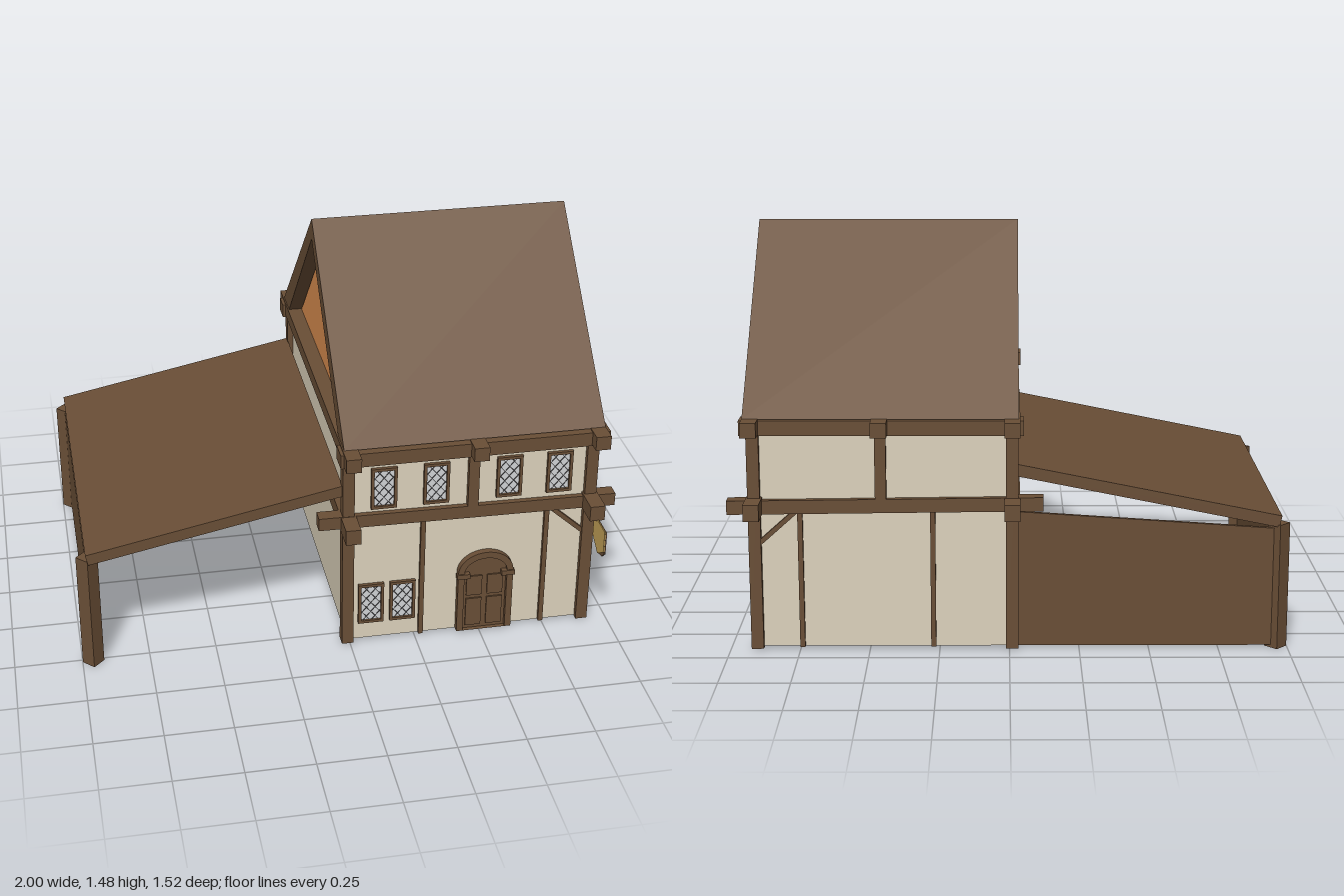
import * as THREE from 'three';

const mat = (name, color, side = THREE.FrontSide) => {
  const m = new THREE.MeshStandardMaterial({ color, side });
  m.name = name;
  return m;
};

export function createModel() {
  const timber = mat('timber brown', 0x694e36);
  const plaster = mat('plaster beige', 0xdcd2bc);
  const gableOrange = mat('gable orange', 0xdb8e50, THREE.DoubleSide);
  const glass = mat('window glass', 0xd2d4d6);
  const lead = mat('window lead', 0x4a4a4c);
  const gold = mat('sign gold', 0xc9a55a);

  const house = new THREE.Group();
  house.name = 'house';

  const add = (name, geometry, material, parent = house) => {
    const m = new THREE.Mesh(geometry, material);
    m.name = name;
    parent.add(m);
    return m;
  };
  // Box given by its lower and upper limits
  const box = (name, material, x0, x1, y0, y1, z0, z1, parent) => {
    const m = add(name, new THREE.BoxGeometry(x1 - x0, y1 - y0, z1 - z0), material, parent);
    m.position.set((x0 + x1) / 2, (y0 + y1) / 2, (z0 + z1) / 2);
    return m;
  };
  // Bar between two points in an upright plane facing z
  const bar = (name, material, ax, ay, bx, by, z, width, depth, parent) => {
    const m = add(name, new THREE.BoxGeometry(Math.hypot(bx - ax, by - ay), width, depth), material, parent);
    m.position.set((ax + bx) / 2, (ay + by) / 2, z);
    m.rotation.z = Math.atan2(by - ay, bx - ax);
    return m;
  };
  const polygon = pts => new THREE.Shape(pts.map(p => new THREE.Vector2(p[0], p[1])));
  // Outline in (z, y) extruded from x0 to x1
  const sideExtrude = (pts, x0, x1) =>
    new THREE.ExtrudeGeometry(polygon(pts.map(([z, y]) => [-z, y])), { depth: x1 - x0, bevelEnabled: false })
      .rotateY(Math.PI / 2).translate(x0, 0, 0);

  // Walls, open below
  const zF = 0.56, zB = -0.65;
  box('frontWall', plaster, 0, 0.91, 0.01, 0.83, zF - 0.012, zF);
  box('backWall', plaster, 0, 0.91, 0.01, 0.83, zB, zB + 0.012);
  box('leftWall', plaster, 0.898, 0.91, 0.01, 0.83, zB, zF);
  box('rightWall', plaster, -0.01, 0.002, 0.01, 0.83, zB, zF);

  // Corner posts, and long beams with projecting ends
  for (const x of [-0.01, 0.903]) {
    for (const z of [0.557, -0.647]) box('cornerPost', timber, x - 0.022, x + 0.022, 0.005, 0.85, z - 0.023, z + 0.023);
    box('lowerSideBeam', timber, x - 0.028, x + 0.028, 0.503, 0.563, -0.76, 0.675);
  }
  for (const x of [-0.01, 0.455, 0.905]) box('upperCrossBeam', timber, x - 0.028, x + 0.028, 0.802, 0.856, -0.76, 0.675);
  for (const z of [0.555, -0.645]) {
    bar('lowerLongBeam', timber, -0.12, 0.541, 1, 0.529, z, 0.05, 0.052);
  }
  box('frontEaveBeam', timber, -0.05, 0.945, 0.797, 0.851, 0.55, 0.63);
  box('backEaveBeam', timber, -0.05, 0.945, 0.797, 0.851, -0.7, -0.63);

  // Timber studs and brace on front and back
  for (const [z, face] of [[zF, 'front'], [zB, 'back']]) {
    box(face + 'UpperStud', timber, 0.435, 0.475, 0.55, 0.81, z - 0.022, z + 0.022);
    for (const x of [0.272, 0.742]) box(face + 'LowerStud', timber, x - 0.009, x + 0.009, 0.01, 0.51, z - 0.014, z + 0.014);
    bar(face + 'Brace', timber, 0.755, 0.515, 0.9, 0.385, z, 0.017, 0.026);
  }

  // Main roof and gables
  add('mainRoof', sideExtrude(
    [[0.605, 0.855], [-0.045, 1.475], [-0.695, 0.855], [-0.575, 0.855], [-0.045, 1.395], [0.49, 0.855]], -0.033, 0.933), timber);
  for (const x of [0.018, 0.88]) {
    add('gable', sideExtrude([[0.49, 0.85], [-0.045, 1.383], [-0.575, 0.85]], x, x + 0.006), gableOrange);
  }

  // Leaded window: frame, pane and crossing diagonal strips
  const makeWindow = (cx, cy, w, h) => {
    const g = new THREE.Group();
    g.name = 'window';
    g.position.set(cx, cy, zF);
    house.add(g);
    const t = 0.011, a = w / 2 - t, b = h / 2 - t;
    box('pane', glass, -a, a, -b, b, 0, 0.004, g);
    for (const s of [-1, 1]) {
      box('frameSide', timber, s < 0 ? -w / 2 : a, s < 0 ? -a : w / 2, -h / 2, h / 2, -0.004, 0.013, g);
      box('frameRail', timber, -a, a, s < 0 ? -h / 2 : b, s < 0 ? -b : h / 2, -0.004, 0.013, g);
      const k = 1.2 * s;
      for (let c = -0.12; c <= 0.121; c += 0.04) {
        const xs = [(-b - c) / k, (b - c) / k].sort((p, q) => p - q);
        const x0 = Math.max(-a, xs[0]), x1 = Math.min(a, xs[1]);
        if (x1 - x0 > 0.004) bar('lattice', lead, x0, k * x0 + c, x1, k * x1 + c, 0.0045, 0.003, 0.003, g);
      }
    }
  };
  for (const x of [0.123, 0.318, 0.592, 0.782]) makeWindow(x, 0.664, 0.096, 0.168);
  for (const x of [0.08, 0.2]) makeWindow(x, 0.168, 0.097, 0.17);

  // Arched door: frame, leaf and panel boards
  const door = new THREE.Group();
  door.name = 'door';
  door.position.set(0.515, 0.01, zF);
  house.add(door);
  const arch = (path, w, spring, rise) => {
    path.moveTo(-w, 0);
    path.lineTo(w, 0);
    path.lineTo(w, spring);
    path.absellipse(0, spring, w, rise, 0, Math.PI, false);
    path.lineTo(-w, 0);
    return path;
  };
  const frame = arch(new THREE.Shape(), 0.106, 0.255, 0.088);
  frame.holes.push(arch(new THREE.Path(), 0.082, 0.255, 0.062));
  const solid = depth => ({ depth, bevelEnabled: false, curveSegments: 10 });
  add('doorFrame', new THREE.ExtrudeGeometry(frame, solid(0.05)), timber, door).position.z = -0.025;
  add('doorLeaf', new THREE.ExtrudeGeometry(arch(new THREE.Shape(), 0.084, 0.255, 0.064), solid(0.03)), timber, door).position.z = -0.022;
  for (const s of [-1, 1]) {
    for (const [y0, y1] of [[0.015, 0.135], [0.15, 0.235]]) {
      box('doorPanel', timber, s * 0.04 - 0.03, s * 0.04 + 0.03, y0, y1, 0.005, 0.014, door);
    }
    box('doorHinge', timber, s * 0.086 - 0.025, s * 0.086 + 0.025, 0.235, 0.255, 0.01, 0.03, door);
  }

  // Hanging sign at the front corner
  const signShape = [[0.755, 0.5], [0.64, 0.5], [0.635, 0.41], [0.665, 0.382], [0.7, 0.375], [0.735, 0.385], [0.76, 0.41], [0.76, 0.485]];
  add('signPlate', sideExtrude(signShape, 0.909, 0.914), timber);
  add('signBacking', sideExtrude([[0.762, 0.506], [0.635, 0.506], [0.635, 0.42], [0.7, 0.377], [0.762, 0.42]], 0.904, 0.908), gold);

  // Lean-to: sloping roof, outer wall, back wall and turned posts, open at the front
  bar('leanToRoof', timber, -0.962, 0.474, -0.025, 0.663, -0.05, 0.043, 1.22);
  box('leanToSideWall', timber, -0.967, -0.952, 0.01, 0.455, -0.63, 0.51);
  const back = polygon([[-0.96, 0.01], [0, 0.01], [0, 0.51], [-0.96, 0.445]]);
  add('leanToBackWall', new THREE.ExtrudeGeometry(back, { depth: 0.014, bevelEnabled: false }), timber).position.z = -0.648;
  for (const z of [0.513, -0.628]) {
    const post = box('leanToPost', timber, -0.988, -0.932, 0, 0.462, z - 0.028, z + 0.028);
    post.rotation.y = Math.PI / 4;
  }

  return house;
}
